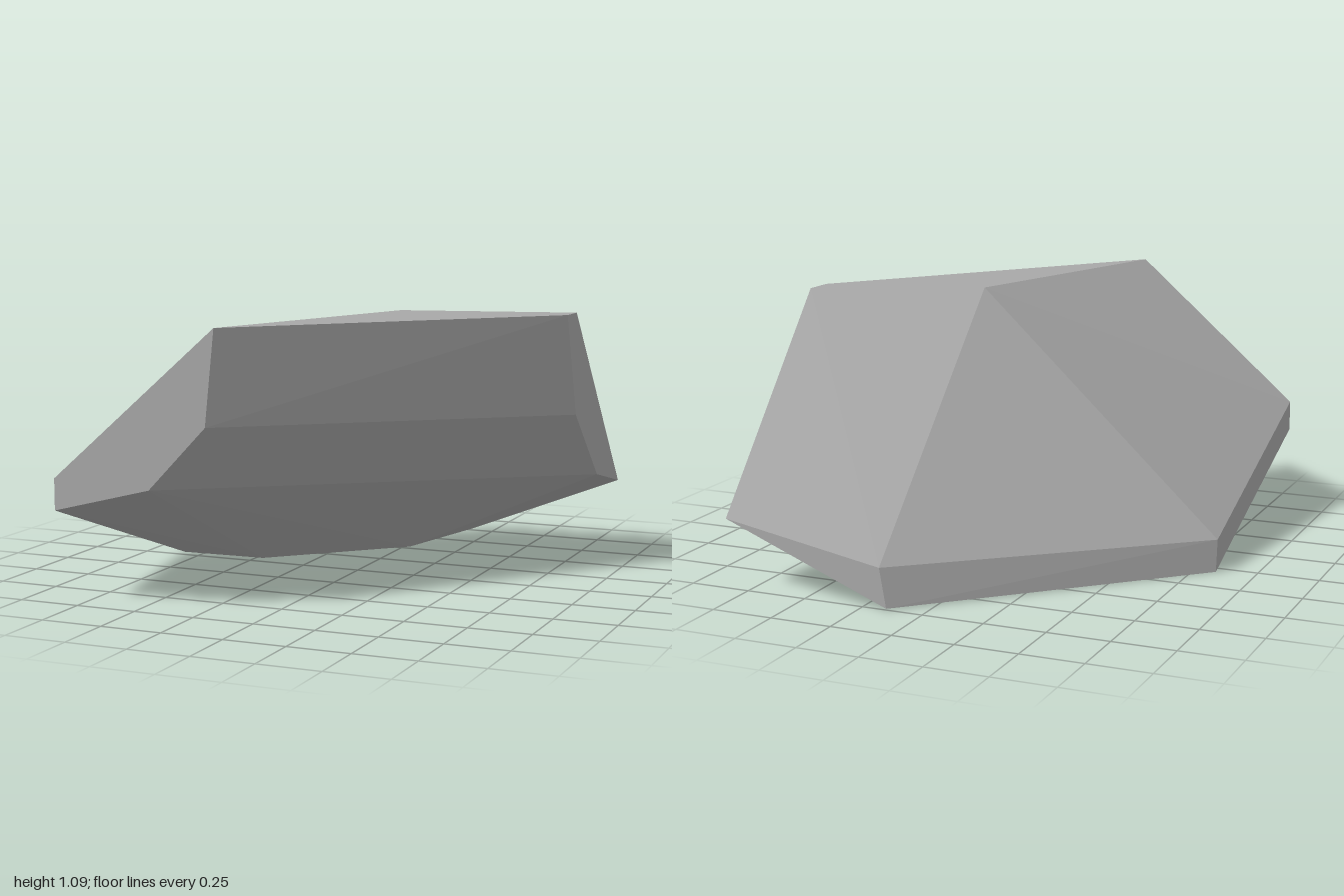
import * as THREE from 'three';
import { ConvexGeometry } from 'three/addons/geometries/ConvexGeometry.js';

export function createModel() {
  const group = new THREE.Group();
  group.name = 'rock';
  const stone = new THREE.MeshStandardMaterial({ color: 0xa8a8a8, flatShading: true });
  stone.name = 'grey stone';

  const corners = [
    // flat top
    [-0.15, 1.09, 1], [0.84, 1.08, -0.17], [0.84, 1.08, -0.3], [0.17, 1.088, -0.05],
    // flat front end
    [-0.19, 0.72, 1], [-0.43, 0.47, 1], [-0.84, 0.365, 1], [-0.84, 0.49, 1],
    // flat right-hand end
    [0.84, 0.66, -0.31], [0.84, 0.36, -0.65], [0.84, 0.28, -1],
    // narrow bevel along the back
    [0.18, 0.16, -0.995], [-0.84, 0.13, -0.035],
    // base
    [0.15, 0.005, -1], [-0.84, 0, -0.05], [-0.46, 0.005, -0.045], [0.04, 0.008, -0.5],
  ].map((p) => new THREE.Vector3(...p));

  const boulder = new THREE.Mesh(new ConvexGeometry(corners), stone);
  boulder.name = 'boulder';
  group.add(boulder);
  return group;
}
